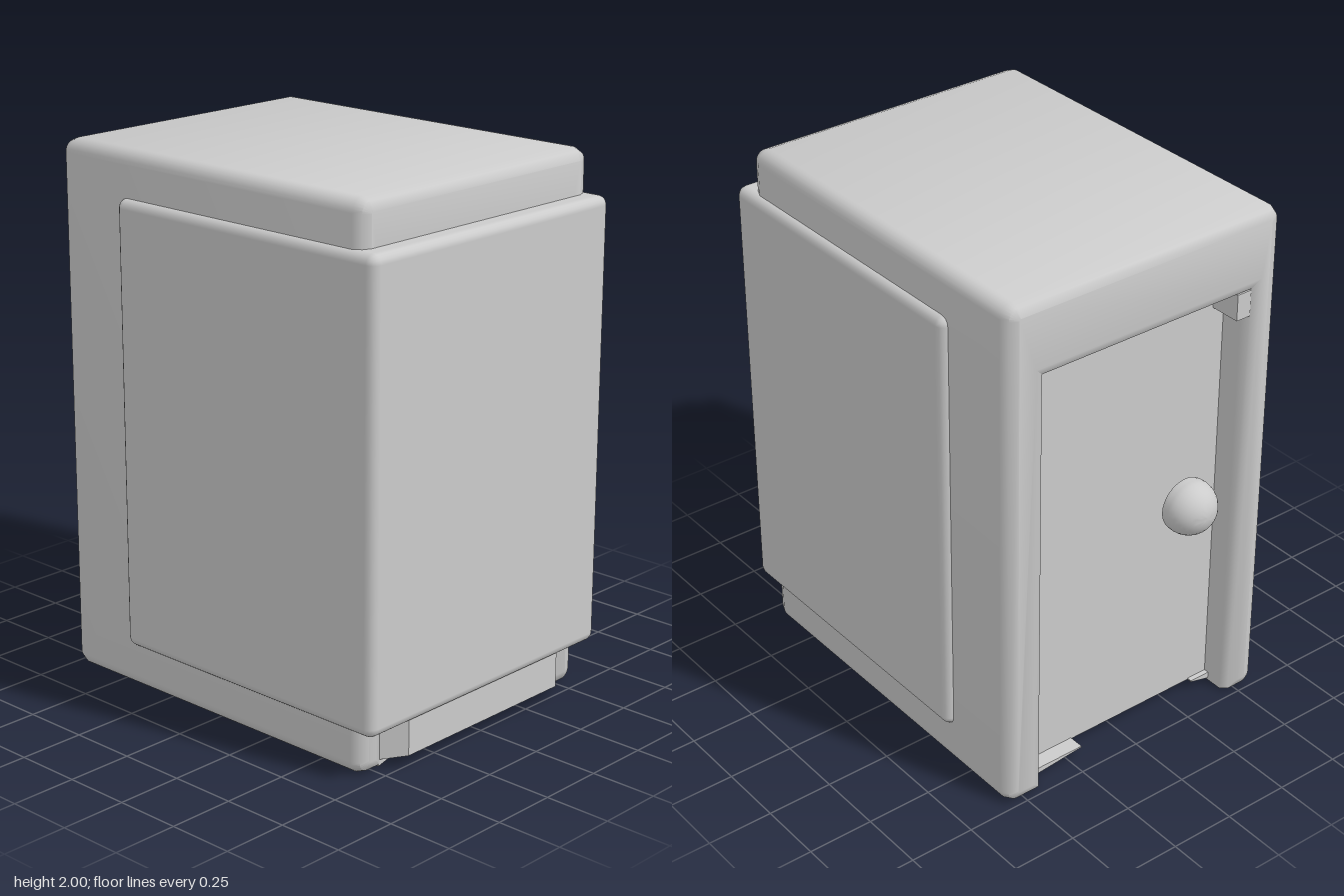
import * as THREE from 'three';
import { toCreasedNormals } from 'three/addons/utils/BufferGeometryUtils.js';
import { RoundedBoxGeometry } from 'three/addons/geometries/RoundedBoxGeometry.js';
import { ConvexGeometry } from 'three/addons/geometries/ConvexGeometry.js';

const grey = new THREE.MeshStandardMaterial({ color: 0xcccccc });

function part(group, name, geometry, x = 0, y = 0, z = 0) {
  const mesh = new THREE.Mesh(geometry, grey);
  mesh.name = name;
  mesh.position.set(x, y, z);
  group.add(mesh);
}

// Arch-shaped housing: rounded outline with a doorway cut up from the floor
function housingGeometry() {
  const w = 0.58, h = 2, r = 0.05, bevel = 0.045;
  const doorBack = 0.42, doorFront = 0.455, doorTop = 1.7;
  const s = new THREE.Shape();
  s.moveTo(-w + r, 0);
  s.lineTo(-doorFront, 0);
  s.lineTo(-doorFront, doorTop);
  s.lineTo(doorBack, doorTop);
  s.lineTo(doorBack, 0);
  s.lineTo(w - r, 0);
  s.absarc(w - r, r, r, -Math.PI / 2, 0);
  s.absarc(w - r, h - r, r, 0, Math.PI / 2);
  s.absarc(-w + r, h - r, r, Math.PI / 2, Math.PI);
  s.absarc(-w + r, r, r, Math.PI, Math.PI * 1.5);
  const g = new THREE.ExtrudeGeometry(s, {
    depth: 1.445 - 2 * bevel, curveSegments: 3, bevelSegments: 2,
    bevelSize: bevel, bevelThickness: bevel, bevelOffset: -bevel,
  });
  g.rotateY(Math.PI / 2);
  g.translate(-0.74 + bevel, 0, 0);
  return toCreasedNormals(g, 0.8);
}

// Filled core: its left end is the recessed door, its other end is chamfered
function coreGeometry() {
  const points = [];
  for (const z of [-1, 1]) {
    for (const [x, y, half] of [[-0.61, 0.03, 0.47], [0.69, 0.03, 0.47], [0.765, 0.045, 0.4]]) {
      points.push(new THREE.Vector3(x, y, z * half), new THREE.Vector3(x, 1.72, z * half));
    }
  }
  return new ConvexGeometry(points);
}

// Shallow wedge under the core, running along a floor rail
function rampGeometry(left, innerZ, outerZ) {
  const points = [];
  for (const x of [left, 0.69]) {
    for (const [y, z] of [[0.035, innerZ], [0.03, innerZ], [0.005, outerZ], [0.035, outerZ]]) {
      points.push(new THREE.Vector3(x, y, z));
    }
  }
  return new ConvexGeometry(points);
}

// Domed knob with a flat back and a short stem, turned to face -x
function knobGeometry() {
  const r = 0.104;
  const profile = [new THREE.Vector2(0.03, -0.075), new THREE.Vector2(0.03, -0.025)];
  for (let i = 0; i <= 12; i++) {
    const a = THREE.MathUtils.lerp(-0.243, Math.PI / 2, i / 12);
    profile.push(new THREE.Vector2(r * Math.cos(a), r * Math.sin(a)));
  }
  const g = new THREE.LatheGeometry(profile, 32);
  g.rotateZ(Math.PI / 2);
  return toCreasedNormals(g, 0.7);
}

export function createModel() {
  const model = new THREE.Group();
  model.name = 'cabinet';

  part(model, 'housing', housingGeometry());
  part(model, 'doorCore', coreGeometry());

  // Wider casing wrapped around the far end
  part(model, 'casing', new RoundedBoxGeometry(1.21, 1.665, 1.215, 2, 0.035), 0.175, 1.0025, 0);

  // Ramps beside the floor rails
  part(model, 'backRamp', rampGeometry(-0.67, -0.19, -0.47));
  part(model, 'frontRamp', rampGeometry(-0.63, 0.37, 0.47));

  // Small block in the front top corner of the doorway
  part(model, 'doorwayBlock', new THREE.BoxGeometry(0.12, 0.1, 0.06), -0.67, 1.66, 0.435);

  // Round door knob
  part(model, 'doorKnob', knobGeometry(), -0.68, 0.89, 0.27);

  return model;
}
